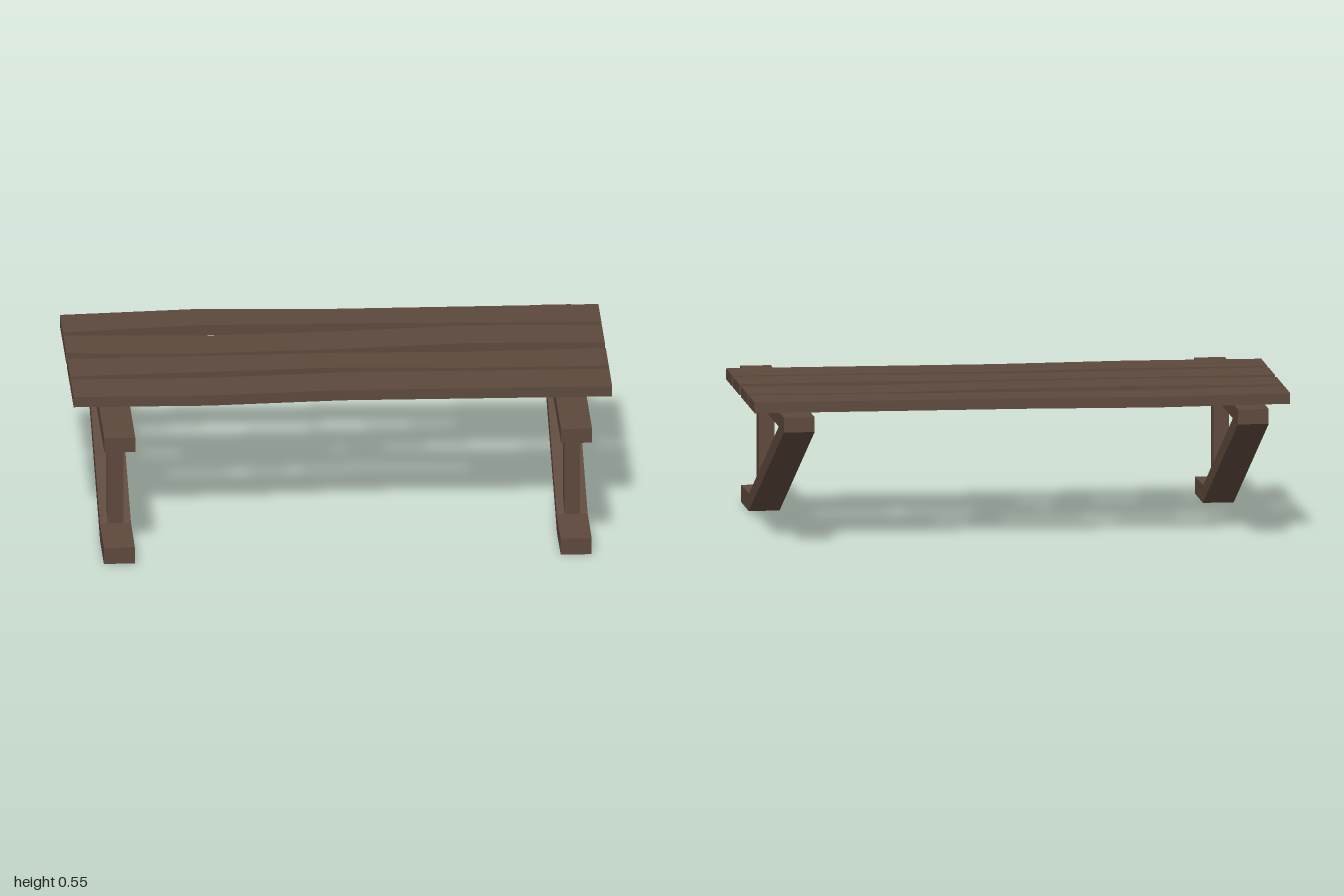
import * as THREE from 'three';

const wood = new THREE.MeshStandardMaterial({ color: 0x5d483c, flatShading: true });

// Extrudes a polygon without bevel, centred on its depth
function slab(points, depth) {
  const shape = new THREE.Shape(points.map(([a, b]) => new THREE.Vector2(a, b)));
  const geometry = new THREE.ExtrudeGeometry(shape, { depth, bevelEnabled: false });
  return geometry.translate(0, 0, -depth / 2);
}

function addMesh(parent, name, geometry) {
  const mesh = new THREE.Mesh(geometry, wood);
  mesh.name = name;
  parent.add(mesh);
  return mesh;
}

// Wavy board: z of the back and front edges at five stations along x
function plankGeometry(back, front) {
  const xs = [-1, -0.5, 0, 0.5, 1];
  const outline = [
    ...xs.map((x, i) => [x, -front[i]]),
    ...xs.map((x, i) => [x, -back[i]]).reverse(),
  ];
  return slab(outline, 0.04).rotateX(-Math.PI / 2);
}

// Side profile given as [z, y], extruded along x
const sidePiece = (profile, width) => slab(profile, width).rotateY(-Math.PI / 2);

export function createModel() {
  const model = new THREE.Group();
  model.name = 'woodenBench';

  // Table top boards, back to front
  const planks = [
    [[-0.55, -0.583, -0.556, -0.553, -0.55], [-0.362, -0.41, -0.4, -0.38, -0.362]],
    [[-0.33, -0.298, -0.314, -0.35, -0.33], [-0.14, -0.109, -0.125, -0.163, -0.14]],
    [[-0.08, -0.08, -0.088, -0.068, -0.08], [0.109, 0.09, 0.071, 0.104, 0.109]],
    [[0.142, 0.153, 0.125, 0.133, 0.142], [0.33, 0.342, 0.314, 0.322, 0.33]],
  ];
  planks.forEach(([back, front], i) => {
    addMesh(model, `plank${i + 1}`, plankGeometry(back, front)).position.y = 0.527;
  });

  // Mirrored support frames
  for (const side of [-1, 1]) {
    const frame = new THREE.Group();
    frame.name = side > 0 ? 'leftFrame' : 'rightFrame';
    frame.position.x = side * 0.848;
    model.add(frame);

    // Horizontal beam under the boards
    addMesh(frame, 'beam', new THREE.BoxGeometry(0.115, 0.056, 1.33)).position.y = 0.478;

    // Foot bending up into the diagonal brace
    addMesh(frame, 'footAndBrace', sidePiece([
      [0.64, 0], [0.4, 0], [-0.665, 0.45], [-0.51, 0.45], [0.39, 0.068], [0.64, 0.063],
    ], 0.115));

    // Upright post, cut to the slope of the brace
    addMesh(frame, 'post', sidePiece([
      [0.39, 0.068], [0.315, 0.1], [0.315, 0.45], [0.39, 0.45],
    ], 0.058));
  }
  return model;
}
